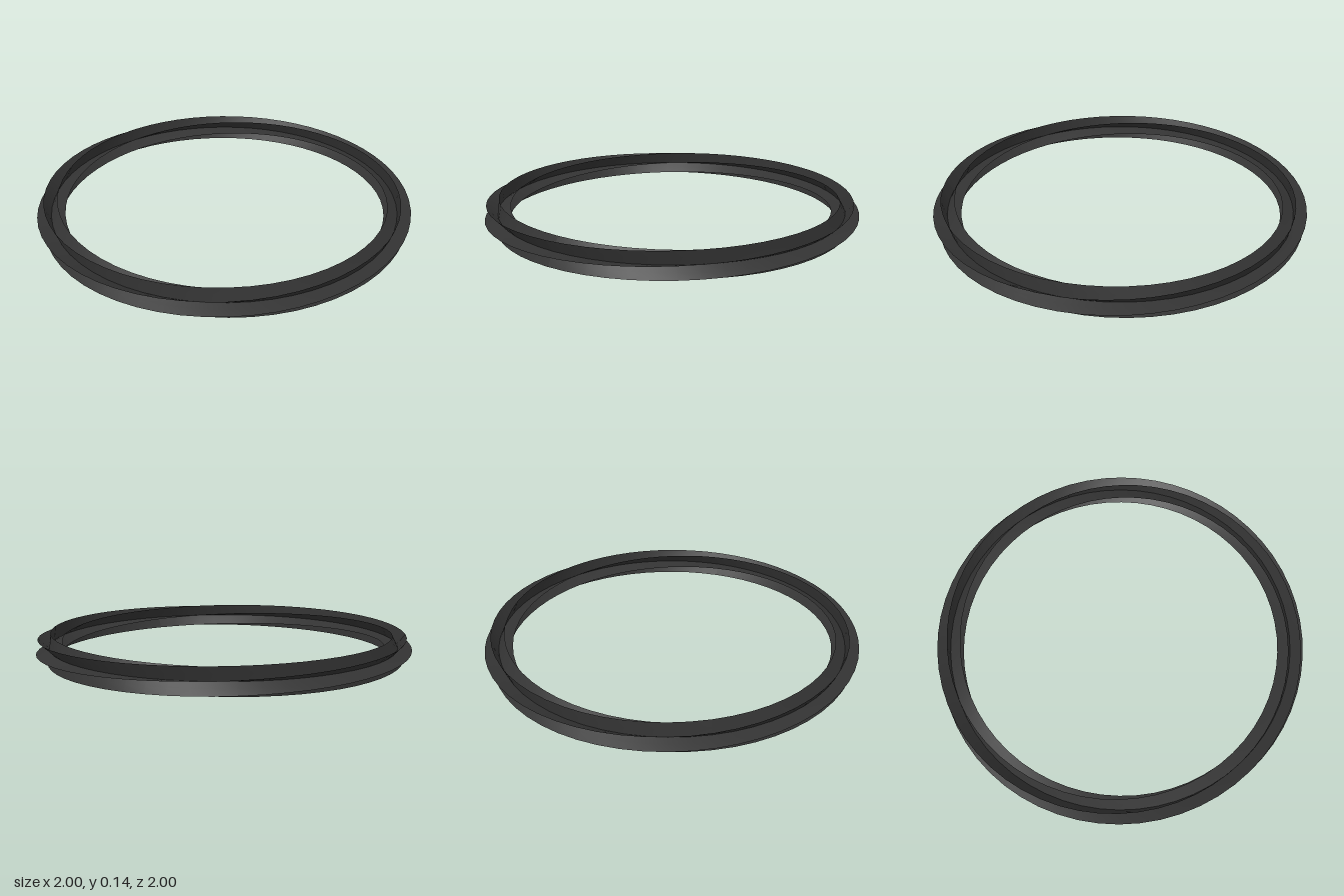
import * as THREE from 'three';

const RING = 0.93;      // radius of the ring's centre line
const HALF = 0.0725;    // half width of each ribbon
const SEGMENTS = 60;
const STRIPS = 4;

// Flat ribbon bent into a ring, making one half twist per turn
function twistedRibbon(startAngle) {
  const positions = [];
  const indices = [];
  for (let i = 0; i <= SEGMENTS; i++) {
    const turn = (i / SEGMENTS) * Math.PI * 2;
    const tilt = startAngle - turn / 2;
    for (let j = 0; j <= STRIPS; j++) {
      const s = HALF * (2 * j / STRIPS - 1);
      const r = RING + s * Math.cos(tilt);
      positions.push(r * Math.cos(turn), HALF + s * Math.sin(tilt), r * Math.sin(turn));
    }
  }
  const row = STRIPS + 1;
  for (let i = 0; i < SEGMENTS; i++) {
    for (let j = 0; j < STRIPS; j++) {
      const a = i * row + j;
      indices.push(a, a + 1, a + row, a + 1, a + row + 1, a + row);
    }
  }
  const geometry = new THREE.BufferGeometry();
  geometry.setAttribute('position', new THREE.Float32BufferAttribute(positions, 3));
  geometry.setIndex(indices);
  geometry.computeVertexNormals();
  return geometry;
}

export function createModel() {
  const group = new THREE.Group();
  group.name = 'twistedRing';
  const material = new THREE.MeshStandardMaterial({ color: 0x333333, side: THREE.DoubleSide });

  // Three ribbons crossing along the same centre line, 60 degrees apart
  for (let k = 0; k < 3; k++) {
    const ribbon = new THREE.Mesh(twistedRibbon(k * Math.PI / 3), material);
    ribbon.name = `ribbon${k + 1}`;
    ribbon.position.x = -0.005;
    group.add(ribbon);
  }
  return group;
}
